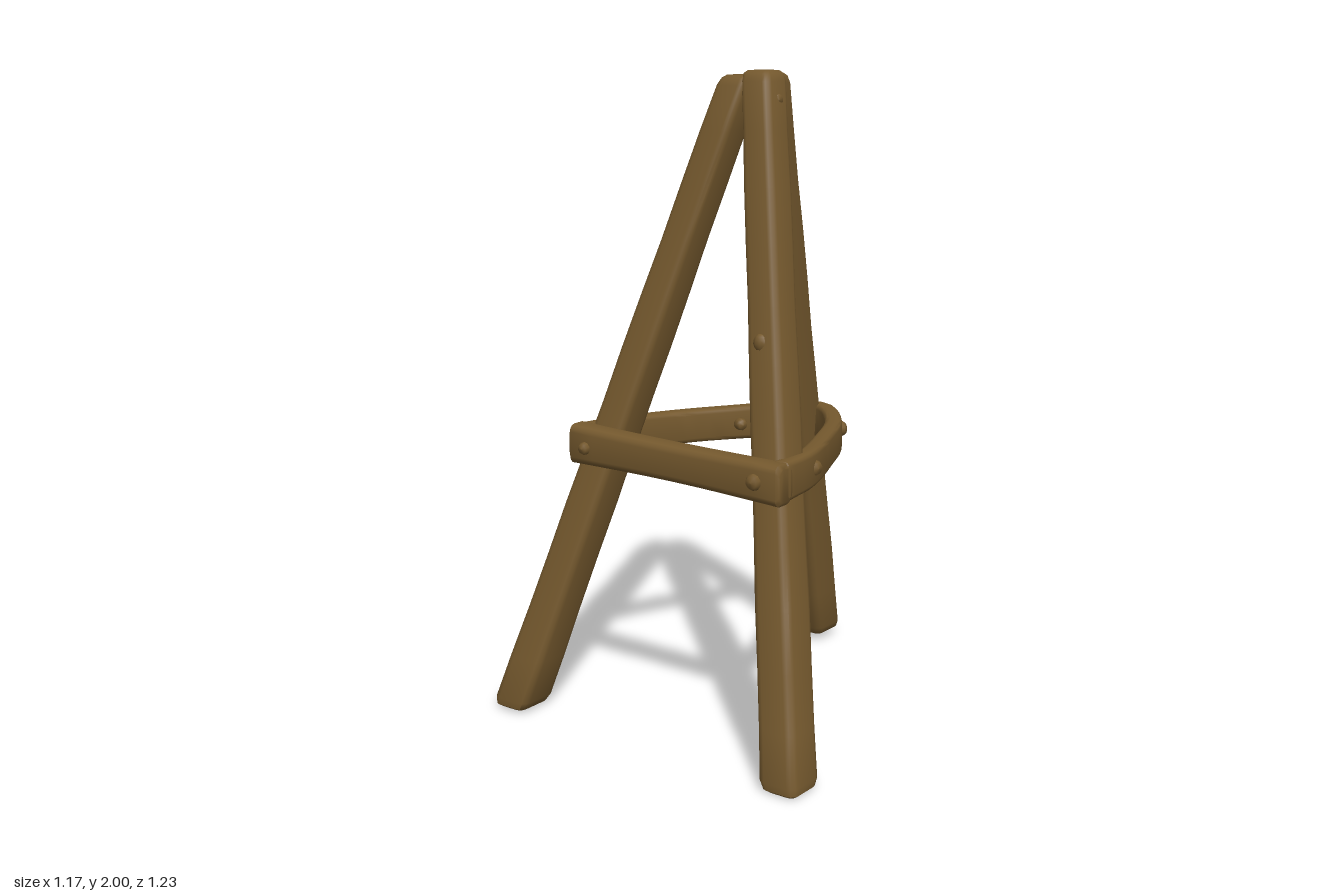
import * as THREE from 'three';
import { toCreasedNormals } from 'three/addons/utils/BufferGeometryUtils.js';

const wood = new THREE.MeshStandardMaterial({ color: 0x75592e });
wood.name = 'brown wood';

// Rounded rectangle outline, counter-clockwise
function section(w, h, r, steps = 3) {
  const pts = [];
  [[1, 1], [-1, 1], [-1, -1], [1, -1]].forEach(([sx, sy], q) => {
    for (let i = 0; i <= steps; i++) {
      const a = (q + i / steps) * Math.PI / 2;
      pts.push([sx * (w / 2 - r) + r * Math.cos(a), sy * (h / 2 - r) + r * Math.sin(a)]);
    }
  });
  return pts;
}

// Skin a list of equal rings and close both ends
function loft(rings) {
  const n = rings[0].length, pos = [], idx = [];
  rings.forEach(r => r.forEach(p => pos.push(p.x, p.y, p.z)));
  for (let j = 0; j < rings.length - 1; j++) {
    for (let i = 0; i < n; i++) {
      const k = (i + 1) % n, a = j * n + i, b = j * n + k;
      idx.push(a, b, b + n, a, b + n, a + n);
    }
  }
  const last = (rings.length - 1) * n;
  for (let i = 1; i < n - 1; i++) {
    idx.push(0, i + 1, i, last, last + i, last + i + 1);
  }
  const g = new THREE.BufferGeometry();
  g.setAttribute('position', new THREE.Float32BufferAttribute(pos, 3));
  g.setIndex(idx);
  return toCreasedNormals(g, 0.75);
}

function add(parent, name, geometry) {
  const m = new THREE.Mesh(geometry, wood);
  m.name = name;
  parent.add(m);
  return m;
}

// Leaning leg with level sections, a slight taper and softened ends
function leg(foot, top, wFoot, wTop, phase) {
  const a = new THREE.Vector3(...foot), b = new THREE.Vector3(...top), len = b.y - a.y;
  const stops = [0, 0.008 / len, 0.03 / len];
  for (let i = 1; i < 12; i++) stops.push(i / 12);
  stops.push(1 - 0.03 / len, 1 - 0.008 / len, 1);
  return loft(stops.map((t, j) => {
    const edge = Math.min(j, stops.length - 1 - j);
    const s = edge === 0 ? 0.72 : edge === 1 ? 0.9 : 1;
    const w = (wFoot + (wTop - wFoot) * t + 0.002 * Math.sin(t * 23 + phase)) * s;
    const c = a.clone().lerp(b, t);
    return section(w, w * 1.04, w * 0.2).map(([u, v]) => new THREE.Vector3(c.x + u, c.y, c.z - v));
  }));
}

// Plank standing on edge, swept along a curve
function plank(points, height, thick, steps) {
  const curve = new THREE.CatmullRomCurve3(points.map(p => new THREE.Vector3(...p)));
  const stops = [0, 0.012];
  for (let i = 1; i < steps; i++) stops.push(i / steps);
  stops.push(0.988, 1);
  const up = new THREE.Vector3(0, 1, 0);
  return loft(stops.map((t, j) => {
    const c = curve.getPointAt(t);
    const side = curve.getTangentAt(t).setY(0).normalize().cross(up);
    const s = j === 0 || j === stops.length - 1 ? 0.8 : 1;
    const h = (height - 0.012 * Math.sin(Math.PI * t)) * s;
    return section(h, thick * s, thick * 0.28).map(([u, v]) =>
      c.clone().addScaledVector(up, u).addScaledVector(side, v));
  }));
}

export function createModel() {
  const group = new THREE.Group();
  group.name = 'woodenTripod';

  // Legs
  add(group, 'rightLeg', leg([-0.53, 0.005, 0.545], [-0.008, 1.985, 0.05], 0.135, 0.108, 0));
  add(group, 'leftLeg', leg([0.525, 0, 0.555], [0.065, 2, 0.045], 0.13, 0.105, 2));
  add(group, 'backLeg', leg([-0.135, 0.02, -0.555], [0.05, 1.99, -0.005], 0.13, 0.095, 4));

  // Straight brace across the front
  add(group, 'frontBrace', plank([[-0.39, 0.862, 0.408], [0, 0.857, 0.408], [0.41, 0.85, 0.412]], 0.125, 0.08, 8));
  // Bowed braces from the front legs to the back leg
  add(group, 'rightBrace', plank([[-0.365, 0.862, 0.4], [-0.342, 0.86, 0.25], [-0.27, 0.852, 0.02],
    [-0.18, 0.845, -0.16], [-0.09, 0.835, -0.34], [-0.05, 0.832, -0.39]], 0.12, 0.055, 20));
  add(group, 'leftBrace', plank([[0.385, 0.855, 0.41], [0.365, 0.855, 0.25], [0.27, 0.85, 0.01],
    [0.16, 0.842, -0.21], [0.02, 0.835, -0.365], [-0.06, 0.83, -0.39]], 0.12, 0.055, 20));

  // Round-headed pegs: position, outward direction, radius
  const pegs = [
    [[0.325, 0.855, 0.45], [0, 0, 1], 0.025],
    [[-0.32, 0.858, 0.447], [0, 0, 1], 0.02],
    [[0.378, 0.857, 0.22], [1, 0, 0.2], 0.024],
    [[-0.368, 0.86, 0.23], [-1, 0, 0.2], 0.026],
    [[0.15, 0.848, -0.265], [0.5, 0, -0.8], 0.025],
    [[-0.2, 0.848, -0.175], [-1, 0, -0.5], 0.022],
    [[-0.15, 0.846, -0.13], [1, 0, 0.5], 0.02],
    [[-0.06, 1.915, 0.07], [-1, 0, 0.3], 0.022],
    [[0.12, 1.915, 0.06], [1, 0, 0.3], 0.022],
    [[-0.02, 1.91, 0.1], [0, 0, 1], 0.018],
  ];
  const up = new THREE.Vector3(0, 1, 0);
  for (const [p, d, r] of pegs) {
    const profile = [[0, -0.03], [1, -0.03], [1, 0.006], [0.75, 0.016], [0, 0.02]];
    const g = new THREE.LatheGeometry(profile.map(([x, y]) => new THREE.Vector2(x * r, y)), 10);
    const peg = add(group, 'peg', g);
    peg.position.set(...p);
    peg.quaternion.setFromUnitVectors(up, new THREE.Vector3(...d).normalize());
  }

  // Small knot on the left front leg
  const knot = add(group, 'knot', new THREE.SphereGeometry(1, 10, 8));
  knot.position.set(0.235, 1.225, 0.29);
  knot.scale.set(0.025, 0.03, 0.022);

  return group;
}
